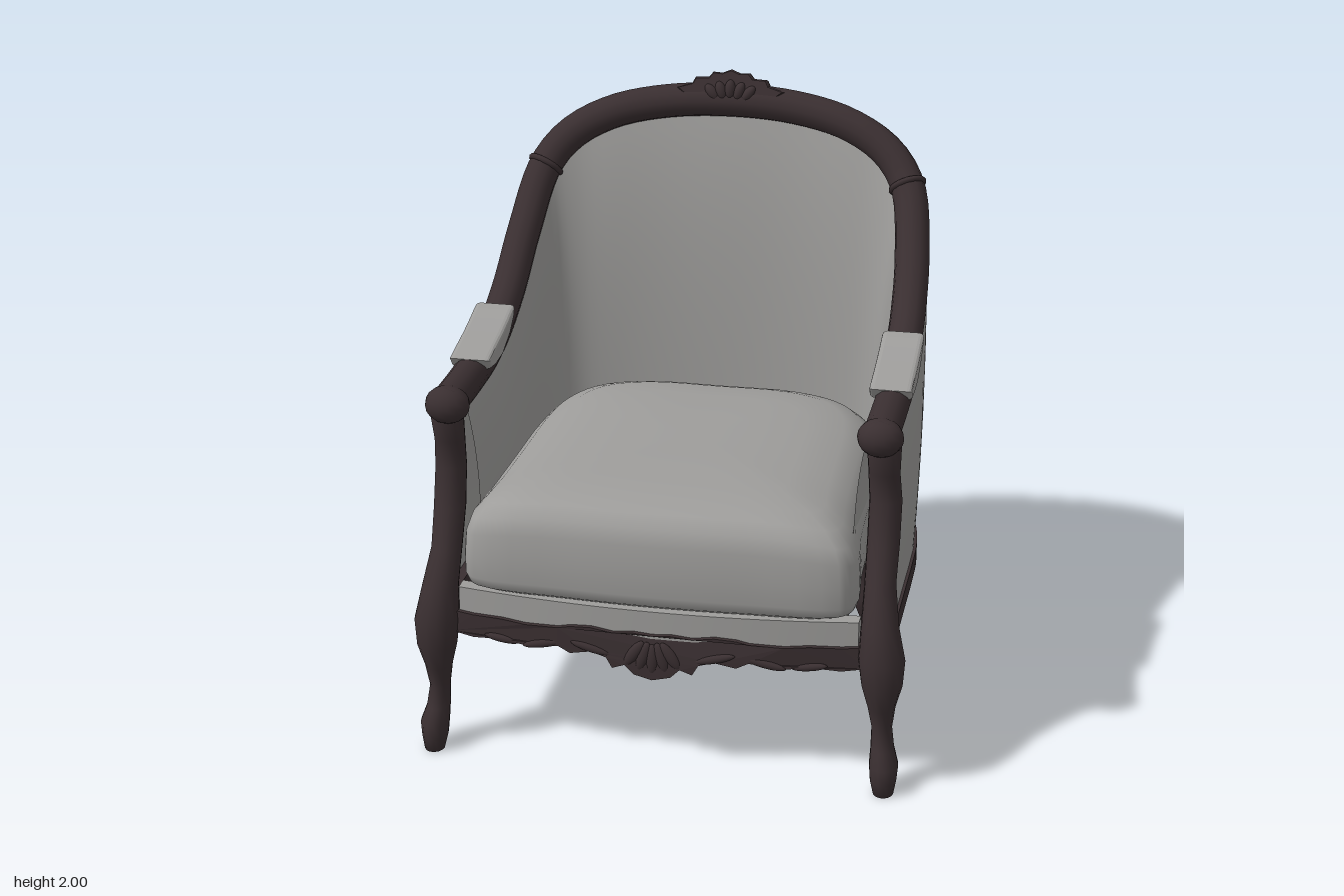
import * as THREE from 'three';
import { toCreasedNormals } from 'three/addons/utils/BufferGeometryUtils.js';

const V = (x, y, z) => new THREE.Vector3(x, y, z);

// Skin over rows of points; closed rows wrap round
function loft(rows, closed = true) {
  const n = rows[0].length, index = [];
  for (let i = 0; i < rows.length - 1; i++) {
    for (let j = 0; j < (closed ? n : n - 1); j++) {
      const k = (j + 1) % n;
      const a = i * n + j, b = i * n + k, c = a + n, d = b + n;
      index.push(a, b, c, b, d, c);
    }
  }
  const g = new THREE.BufferGeometry().setFromPoints(rows.flat());
  g.setIndex(index);
  g.computeVertexNormals();
  return g;
}

// Open U curve from the left front, round the back, to the right front
function uCurve(half) {
  const pts = half.map(p => V(...p));
  const other = half.slice(0, -1).reverse().map(([x, y, z]) => V(-x, y, z));
  return new THREE.CatmullRomCurve3([...pts, ...other]);
}

// Symmetric outline from its right half
function mirroredShape(half) {
  const pts = [...half, ...half.slice(1, -1).reverse().map(([x, y]) => [-x, y])];
  return new THREE.Shape(pts.map(p => new THREE.Vector2(...p)));
}

// Forward bow of the seat front
const bow = x => 0.06 * (1 - (x / 0.68) ** 2);

function bowed(geometry) {
  const p = geometry.attributes.position;
  for (let i = 0; i < p.count; i++) p.setZ(i, p.getZ(i) + bow(p.getX(i)));
  geometry.computeVertexNormals();
  return geometry;
}

export function createModel() {
  const chair = new THREE.Group();
  chair.name = 'armchair';
  const wood = new THREE.MeshStandardMaterial({ color: 0x3a2f31 });
  wood.name = 'dark wood';
  const fabric = new THREE.MeshStandardMaterial({ color: 0x9e9d9b, side: THREE.DoubleSide });
  fabric.name = 'grey fabric';

  const add = (name, geometry, material) => {
    const m = new THREE.Mesh(geometry, material);
    m.name = name;
    chair.add(m);
    return m;
  };
  const knob = (name, [x, y, z], [a, b, c], tilt = 0) => {
    const m = add(name, new THREE.SphereGeometry(1, 14, 10), wood);
    m.position.set(x, y, z);
    m.scale.set(a, b, c);
    m.rotation.z = tilt;
  };

  const topCurve = uCurve([
    [.69, 1.185, .57], [.69, 1.185, .35], [.69, 1.197, .15], [.685, 1.243, 0], [.682, 1.33, -.18],
    [.67, 1.48, -.35], [.63, 1.665, -.505], [.55, 1.765, -.565], [.41, 1.84, -.605], [.22, 1.88, -.635], [0, 1.893, -.642]]);
  const baseCurve = uCurve([
    [.69, .5, .62], [.69, .5, .36], [.69, .5, .15], [.69, .5, 0], [.685, .5, -.17],
    [.66, .5, -.32], [.615, .5, -.42], [.53, .5, -.505], [.39, .5, -.562], [.21, .5, -.598], [0, .5, -.612]]);

  // Upholstered shell: inside face up from the cushion, over the top, outside face down
  const shellRows = [], railRows = [], U = 80, H = 14;
  for (let i = 0; i <= U; i++) {
    const top = topCurve.getPoint(i / U), base = baseCurve.getPoint(i / U);
    const t = baseCurve.getTangent(i / U);
    const out = V(-t.z, 0, t.x).normalize();
    const back = Math.max(0, -out.z);
    const at = (v, o) => {
      const p = base.clone().lerp(top, v).addScaledVector(out, o);
      p.z = Math.min(p.z, 0.5 + Math.max(0, 0.85 - p.y) * 0.35);
      return p;
    };
    const row = [], low = 0.06 / (top.y - 0.5);
    for (let k = 0; k <= H; k++) {
      const v = low + (1 - low) * k / H;
      row.push(at(v, -0.085 + v ** 4 * (0.045 + 0.05 * back * back)));
    }
    for (let k = H; k >= 0; k--) {
      const v = k / H;
      row.push(at(v, 0.045 + 0.03 * back * v + 0.012 * Math.sin(Math.PI * v)));
    }
    shellRows.push(row);
    railRows.push([[.055, .5], [.055, .43], [.01, .43], [.01, .5]].map(([o, y]) => {
      const p = base.clone().addScaledVector(out, o);
      p.y = y;
      return p;
    }));
  }
  add('upholstered shell', toCreasedNormals(loft(shellRows, false), 0.9), fabric);
  add('base rail', toCreasedNormals(loft(railRows), 0.7), wood);
  add('arm and back frame', new THREE.TubeGeometry(topCurve, 90, 0.058, 12), wood);

  // Turned bands where the arms meet the back
  for (const u of [0.3, 0.7]) {
    const band = add('frame band', new THREE.TorusGeometry(0.055, 0.011, 8, 20), wood);
    const p = topCurve.getPoint(u);
    band.position.copy(p);
    band.lookAt(p.clone().add(topCurve.getTangent(u)));
  }

  // Posts and legs from elliptical rings: y, x, z, half width, half depth
  const frontPost = [
    [1.16, .70, .53, .055, .05], [1.05, .70, .505, .05, .045], [.95, .705, .487, .052, .045], [.82, .705, .515, .052, .06],
    [.70, .705, .565, .05, .06], [.58, .715, .625, .06, .065], [.47, .725, .64, .075, .07], [.38, .728, .64, .066, .068],
    [.30, .728, .632, .045, .052], [.22, .73, .62, .033, .043], [.15, .735, .63, .038, .05], [.10, .743, .65, .047, .06],
    [.05, .743, .655, .043, .052], [0, .745, .66, .033, .038]];
  const rearLeg = [
    [.51, .54, -.525, .06, .06], [.42, .54, -.512, .062, .074], [.33, .525, -.513, .05, .056], [.25, .5, -.515, .036, .038],
    [.17, .505, -.508, .036, .043], [.11, .533, -.508, .055, .062], [.06, .54, -.525, .05, .052], [0, .545, -.535, .035, .038]];
  const leg = (rings, s) => {
    const ring = ([y, x, z, a, b]) => Array.from({ length: 14 }, (_, j) => {
      const q = j / 14 * Math.PI * 2;
      return V(s * x + a * Math.cos(q), y, z + b * Math.sin(q));
    });
    const cap = ([y, x, z]) => ring([y, x, z, 0, 0]);
    return loft([cap(rings[0]), ...rings.map(ring), cap(rings.at(-1))]);
  };

  // Arm pad side profile (z, y)
  const padShape = new THREE.Shape([[.295, 1.238], [.275, 1.215], [.22, 1.208], [.14, 1.212], [.05, 1.25], [0, 1.29], [-.008, 1.308],
    [.01, 1.302], [.06, 1.287], [.14, 1.267], [.22, 1.252]].map(p => new THREE.Vector2(...p)));

  for (const s of [1, -1]) {
    const side = s > 0 ? 'left' : 'right';
    add(side + ' front post and leg', leg(frontPost, s), wood);
    add(side + ' rear leg', leg(rearLeg, s), wood);
    knob(side + ' arm scroll', [s * .69, 1.182, .55], [.073, .062, .06]);
    const pad = add(side + ' arm pad', new THREE.ExtrudeGeometry(padShape,
      { depth: .104, bevelSize: .012, bevelThickness: .016, bevelSegments: 3 }), fabric);
    pad.rotation.y = -Math.PI / 2;
    pad.position.x = s * .687 + .052;
    // Apron leaf carving
    for (const [x, y, a, b, tilt] of [[.2, .44, .07, .014, .25], [.36, .435, .07, .014, -.2], [.5, .43, .06, .013, .15]])
      knob(side + ' apron leaf', [s * x, y, .64 + bow(x)], [a, b, .012], s * tilt);
  }

  // Seat cushion, open underneath: one plan outline scaled through its height, dropping at the sides
  const half = [[0, .7], [.3, .69], [.59, .66], [.635, .6], [.625, .4], [.615, .1], [.605, -.18], [.575, -.34], [.49, -.46], [.3, -.53], [0, -.535]];
  const plan = [...half.map(([x, z]) => V(-x, 0, z)), ...half.slice(1, -1).reverse().map(([x, z]) => V(x, 0, z))];
  const outline = new THREE.CatmullRomCurve3(plan, true).getPoints(80).slice(0, -1);
  const levels = [[.94, 0], [.939, .3], [.935, .6], [.922, .8], [.9, .9], [.865, .965], [.81, .992], [.72, 1], [.64, 1], [.605, .985], [.59, .95]];
  const cushionRows = levels.map(([y, k]) => outline.map(p => {
    const drop = 0.065 * Math.abs(p.x * k / 0.63) ** 5 * Math.max(0, (y - 0.6) / 0.34);
    return V(p.x * k, y - drop, .07 + (p.z - .07) * k);
  }));
  add('seat cushion', loft(cushionRows), fabric);

  // Fabric strip under the cushion
  const strip = new THREE.BoxGeometry(1.3, .095, .05, 20, 1, 1).translate(0, .5375, .605);
  add('seat front strip', bowed(strip), fabric);

  // Scalloped apron with a carved shell
  const apron = mirroredShape([
    [0, .35], [.06, .365], [.09, .395], [.13, .38], [.15, .415], [.2, .43], [.27, .415], [.31, .435], [.42, .42], [.5, .43], [.6, .42], [.68, .43],
    [.68, .505], [.6, .5], [.5, .502], [.42, .495], [.31, .5], [.27, .51], [.2, .515], [.13, .505], [.06, .512], [0, .507]]);
  const apronGeo = new THREE.ExtrudeGeometry(apron, { depth: .05, bevelEnabled: false });
  add('front apron', bowed(apronGeo.translate(0, 0, .595)), wood);
  for (let i = -2; i <= 2; i++)
    knob('apron shell lobe', [i * .03, .42 + Math.abs(i) * .008, .697], [.02, .055, .013], i * .3);

  // Carved crest leaning with the back
  const crestShape = mirroredShape([
    [0, -.055], [.05, -.06], [.1, -.045], [.14, -.045], [.18, -.015], [.13, 0], [.12, .02], [.075, .022], [.06, .04], [.03, .038], [0, .05]]);
  const crest = add('back crest', new THREE.ExtrudeGeometry(crestShape,
    { depth: .02, bevelSize: .006, bevelThickness: .02, bevelSegments: 3 }), wood);
  crest.position.set(0, 1.939, -.645);
  crest.rotation.x = -.35;
  for (let i = -2; i <= 2; i++)
    knob('crest shell lobe', [i * .03, 1.935 - Math.abs(i) * .006, -.608], [.02, .038, .022], -i * .35);

  return chair;
}
